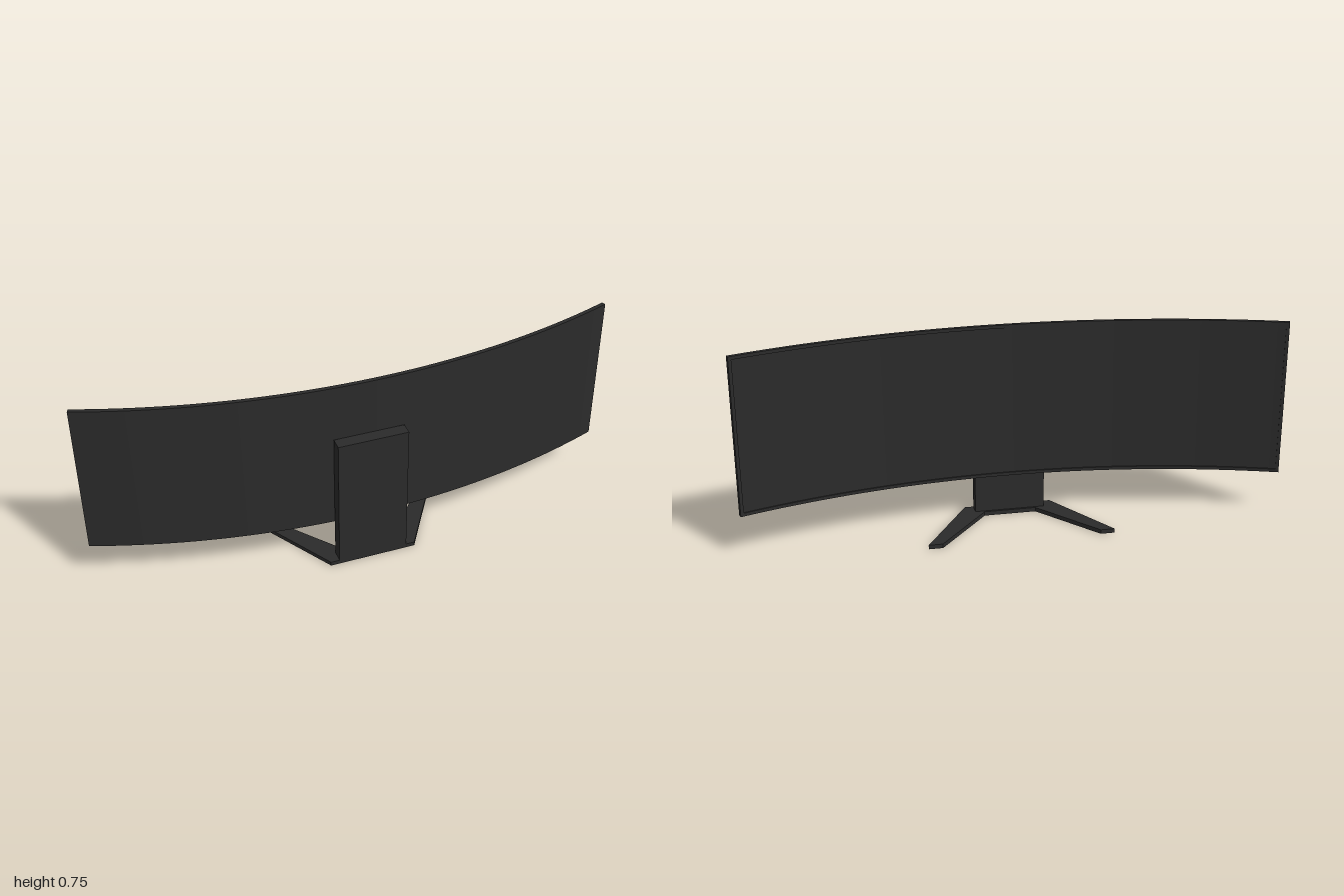
import * as THREE from 'three';
import { toCreasedNormals } from 'three/addons/utils/BufferGeometryUtils.js';

const R = 2.94;               // radius of the convex face
const CENTER_Z = 0.098 - R;   // axis of the curve
const HALF = Math.asin(1 / R);
const BOTTOM = 0.163, TOP = 0.751;
const RIM = 0.012;

export function createModel() {
  const model = new THREE.Group();
  const dark = new THREE.MeshStandardMaterial({ color: 0x2b2b2b });

  const add = (name, geometry, parent = model) => {
    const mesh = new THREE.Mesh(geometry, dark);
    mesh.name = name;
    parent.add(mesh);
    return mesh;
  };

  // Extrude a plan outline (shape y = -z) upwards from y0 to y1
  const extrudeUp = (shape, y0, y1) =>
    new THREE.ExtrudeGeometry(shape, { depth: y1 - y0, bevelEnabled: false, curveSegments: 48 })
      .rotateX(-Math.PI / 2).translate(0, y0, 0);

  // Curved slab between two depths behind the convex face and two angles
  const arcSlab = (near, far, a0, a1, y0, y1) => {
    const shape = new THREE.Shape();
    const mid = -Math.PI / 2;
    shape.absarc(0, -CENTER_Z, R - near, mid + a0, mid + a1, false);
    shape.absarc(0, -CENTER_Z, R - far, mid + a1, mid + a0, true);
    shape.closePath();
    return toCreasedNormals(extrudeUp(shape, y0, y1), 0.5);
  };

  // Curved screen with a raised rim on its concave side
  const screen = new THREE.Group();
  screen.name = 'screen';
  model.add(screen);
  add('screenPanel', arcSlab(0, 0.011, -HALF, HALF, BOTTOM, TOP), screen);
  add('rimBottom', arcSlab(0.011, 0.016, -HALF, HALF, BOTTOM, BOTTOM + RIM), screen);
  add('rimTop', arcSlab(0.011, 0.016, -HALF, HALF, TOP - RIM, TOP), screen);
  const inner = HALF - RIM / R;
  add('rimLeft', arcSlab(0.011, 0.016, inner, HALF, BOTTOM + RIM, TOP - RIM), screen);
  add('rimRight', arcSlab(0.011, 0.016, -HALF, -inner, BOTTOM + RIM, TOP - RIM), screen);

  // Upright column
  add('standColumn', new THREE.BoxGeometry(0.264, 0.521, 0.047).translate(0, 0.2765, 0.1235));

  // Flat foot with two splayed legs
  const half = [[0.165, 0.147], [0.345, -0.147], [0.293, -0.147], [0.098, 0.092]];
  const outline = [...half, ...half.map(([x, z]) => [-x, z]).reverse()];
  const foot = new THREE.Shape(outline.map(([x, z]) => new THREE.Vector2(x, -z)));
  add('standFoot', extrudeUp(foot, 0, 0.016));

  return model;
}
